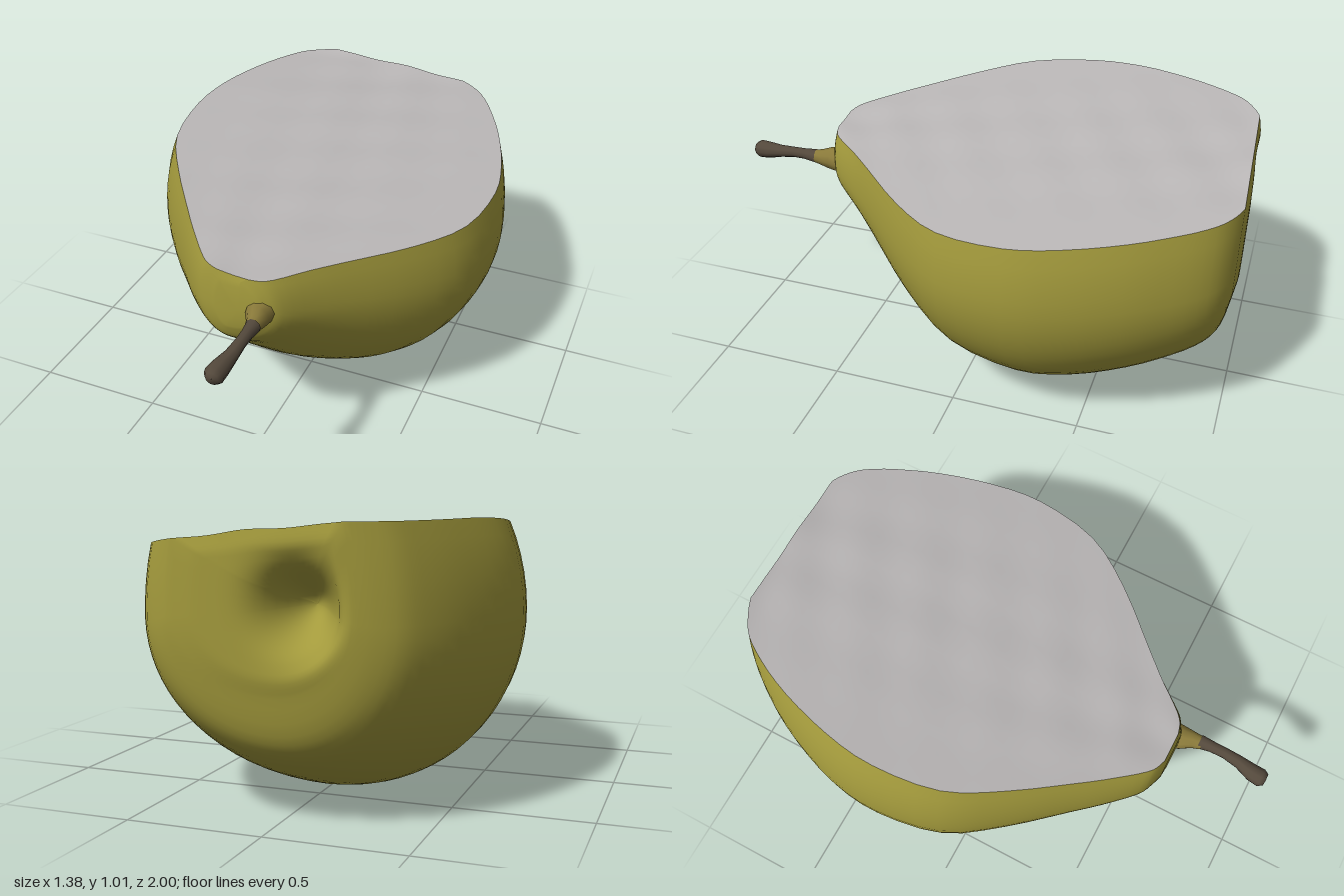
import * as THREE from 'three';

const ARC = 44, CHORD = 18, N = ARC + CHORD;

// Lengthwise stations: z, left edge, right edge, bottom y, y of widest point, upper radius
const STATIONS = [
  [0.648, -0.09, 0.08, 0.65, 0.73, 0.11],
  [0.63, -0.14, 0.11, 0.60, 0.73, 0.19],
  [0.60, -0.19, 0.15, 0.56, 0.72, 0.24],
  [0.50, -0.28, 0.23, 0.47, 0.70, 0.35],
  [0.40, -0.36, 0.32, 0.37, 0.69, 0.45],
  [0.20, -0.52, 0.51, 0.19, 0.67, 0.60],
  [0.00, -0.645, 0.645, 0.06, 0.65, 0.72],
  [-0.25, -0.69, 0.69, 0.00, 0.65, 0.75],
  [-0.45, -0.67, 0.665, 0.025, 0.65, 0.75],
  [-0.65, -0.60, 0.60, 0.095, 0.66, 0.75],
  [-0.80, -0.52, 0.525, 0.17, 0.67, 0.75],
  [-0.90, -0.45, 0.45, 0.24, 0.68, 0.75],
  [-0.95, -0.37, 0.385, 0.32, 0.69, 0.75],
  [-0.975, -0.30, 0.33, 0.45, 0.71, 0.75],
];

// Catmull-Rom blend of the stations
function station(t) {
  const i = Math.min(Math.floor(t), STATIONS.length - 2), f = t - i;
  const at = (k) => STATIONS[THREE.MathUtils.clamp(k, 0, STATIONS.length - 1)];
  const [a, b, c, d] = [at(i - 1), at(i), at(i + 1), at(i + 2)];
  return b.map((v, k) => v + 0.5 * f * (c[k] - a[k]
    + f * (2 * a[k] - 5 * v + 4 * c[k] - d[k] + f * (3 * (v - c[k]) + d[k] - a[k]))));
}

// Tilted plane of the cut
const cutY = (x, z) => Math.min(1.015, 0.915 - 0.109 * x - 0.075 * z);

// One closed cross-section: skin from rim to rim, then back along the cut
function section([z, xl, xr, bottom, yc, up]) {
  const xb = (xl + xr) / 2 - 0.04;
  const rimAngle = (edge) => {
    let a = 0;
    for (let k = 0; k < 8; k++) {
      const x = xb + (edge - xb) * Math.cos(a);
      a = Math.asin(THREE.MathUtils.clamp((cutY(x, z) - yc) / up, 0, 0.9));
    }
    return a;
  };
  const start = Math.PI - rimAngle(xl), end = 2 * Math.PI + rimAngle(xr);
  const back = THREE.MathUtils.smoothstep(-z, 0.75, 0.95);
  const pts = [];
  for (let j = 0; j <= ARC; j++) {
    const a = start + (end - start) * j / ARC, c = Math.cos(a), s = Math.sin(a);
    const x = xb + c * (c < 0 ? xb - xl : xr - xb);
    const y = yc + s * (s < 0 ? yc - bottom : up);
    pts.push(new THREE.Vector3(x, y, z - 0.04 * x * back));
  }
  for (let j = 1; j < CHORD; j++) {
    const p = pts[ARC].clone().lerp(pts[0], j / CHORD);
    p.y += 0.006 * Math.sin(p.x * 17 + z * 9) * Math.sin(z * 14 - p.x * 5) * Math.sin(Math.PI * j / CHORD);
    pts.push(p);
  }
  return pts;
}

// Skin over closed rings; keep(i, j) chooses the quads
function loft(rings, keep = () => true) {
  const n = rings[0].length, index = [];
  for (let i = 0; i < rings.length - 1; i++) {
    for (let j = 0; j < n; j++) {
      if (!keep(i, j)) continue;
      const a = i * n + j, b = i * n + (j + 1) % n;
      index.push(a, a + n, b, b, a + n, b + n);
    }
  }
  const geo = new THREE.BufferGeometry().setFromPoints(rings.flat());
  geo.setIndex(index);
  geo.computeVertexNormals();
  return geo;
}

function addMesh(group, name, geo, color) {
  const mesh = new THREE.Mesh(geo, new THREE.MeshStandardMaterial({ color, side: THREE.DoubleSide }));
  mesh.name = name;
  group.add(mesh);
}

// Round rings along z: [x, y, z, radius]
function stalk(path) {
  return loft(path.map(([x, y, z, r]) => Array.from({ length: 10 }, (_, j) => {
    const a = j / 10 * Math.PI * 2;
    return new THREE.Vector3(x + r * Math.cos(a), y + r * Math.sin(a), z);
  })));
}

export function createModel() {
  const group = new THREE.Group();
  group.name = 'halvedFruit';

  // Body sections, closed at the stem end
  const rings = [];
  const steps = (STATIONS.length - 1) * 3;
  for (let i = 0; i <= steps; i++) rings.push(section(station(i / 3)));
  const tip = new THREE.Vector3(0.0, 0.73, 0.652);
  rings.unshift(rings[0].map((p) => p.clone().lerp(tip, 0.5).setZ(0.652)));
  rings.unshift(rings[0].map(() => tip.clone()));
  const bodyEnd = rings.length - 1;

  // Blossom end with its sunken pit
  const last = rings[bodyEnd], pit = new THREE.Vector3(-0.12, 0.74, -0.98);
  for (let k = 1; k <= 18; k++) {
    const s = k / 18;
    rings.push(last.map((p) => {
      const q = p.clone().lerp(pit, s);
      const d = Math.hypot(q.x - pit.x, q.y - pit.y) / 0.115;
      q.z += -0.012 * Math.min(1, s * 5) + 0.19 * Math.exp(-d * d) * Math.min(1, s * 3);
      return q;
    }));
  }

  // Cut face lies between the stem end and the blossom end
  const isCut = (i, j) => j >= ARC && j < N && i >= 4 && i < bodyEnd;
  addMesh(group, 'skin', loft(rings, (i, j) => !isCut(i, j)), 0xa39a3c);
  addMesh(group, 'cutFace', loft(rings, isCut), 0xbab7b7);

  // Stem: pale collar, then a dark stalk with a flared end
  addMesh(group, 'stemCollar', stalk([
    [0.09, 0.742, 0.74, 0.024], [0.085, 0.738, 0.70, 0.032],
    [0.075, 0.735, 0.66, 0.046], [0.07, 0.73, 0.58, 0.058],
  ]), 0x8a7a3a);
  addMesh(group, 'stem', stalk([
    [0.075, 0.725, 1.0, 0.001], [0.075, 0.725, 0.998, 0.024], [0.074, 0.724, 0.98, 0.036],
    [0.077, 0.726, 0.94, 0.034], [0.088, 0.737, 0.88, 0.025], [0.092, 0.745, 0.82, 0.021],
    [0.092, 0.745, 0.77, 0.022], [0.09, 0.742, 0.72, 0.028],
  ]), 0x54493c);

  return group;
}
